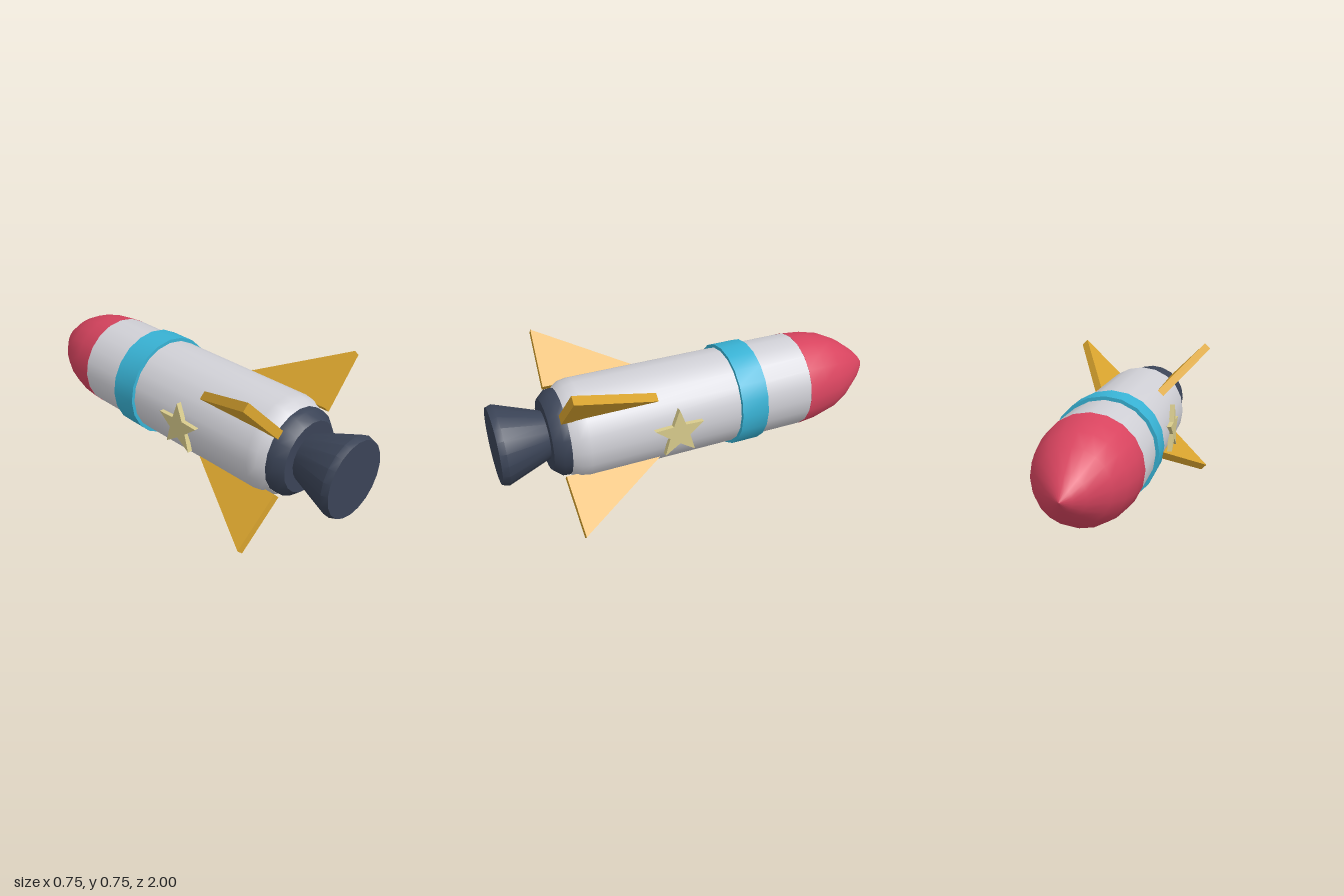
import * as THREE from 'three';
import { toCreasedNormals } from 'three/addons/utils/BufferGeometryUtils.js';

const AXIS_Y = 0.377;
const SIDES = 20;

function material(name, color) {
  const m = new THREE.MeshStandardMaterial({ color });
  m.name = name;
  return m;
}

// Turned part along z; profile is [radius, z] pairs from nose to tail
function turned(name, profile, mat) {
  const points = profile.map(([r, z]) => new THREE.Vector2(r, z));
  const geometry = new THREE.LatheGeometry(points, SIDES).rotateX(Math.PI / 2);
  const mesh = new THREE.Mesh(toCreasedNormals(geometry, 0.7), mat);
  mesh.name = name;
  return mesh;
}

function extruded(points, depth) {
  const shape = new THREE.Shape(points.map(([x, y]) => new THREE.Vector2(x, y)));
  return new THREE.ExtrudeGeometry(shape, { depth, bevelEnabled: false });
}

export function createModel() {
  const white = material('hull grey', 0xd0d0d6);
  const red = material('nose red', 0xd8445f);
  const blue = material('band blue', 0x38b2d4);
  const gold = material('fin gold', 0xd9a42e);
  const navy = material('engine navy', 0x3a4356);
  const cream = material('star cream', 0xd8cb8c);

  const rocket = new THREE.Group();
  rocket.name = 'rocket';
  rocket.position.y = AXIS_Y;

  // Hull, nose and band
  rocket.add(
    turned('noseCone', [[0, -1], [0.045, -0.965], [0.09, -0.92], [0.165, -0.82], [0.208, -0.73],
      [0.232, -0.63], [0.241, -0.535], [0, -0.535]], red),
    turned('hull', [[0, -0.54], [0.24, -0.54], [0.24, 0.61], [0.232, 0.655], [0.208, 0.69], [0, 0.69]], white),
    turned('band', [[0.235, -0.28], [0.257, -0.28], [0.257, -0.14], [0.235, -0.14]], blue),
  );

  // Engine collar and bell
  rocket.add(
    turned('engineCollar', [[0, 0.685], [0.208, 0.685], [0.205, 0.725], [0.17, 0.765], [0, 0.765]], navy),
    turned('engineBell', [[0, 0.75], [0.11, 0.75], [0.19, 0.97], [0.18, 1], [0, 1]], navy),
  );

  // Four diagonal fins, drawn as [radius, z]
  const thickness = 0.042;
  const finGeometry = extruded([[0.219, 0.235], [0.51, 0.705], [0.219, 0.72]], thickness)
    .translate(0, 0, -thickness / 2)
    .rotateX(Math.PI / 2);
  for (let i = 0; i < 4; i++) {
    const fin = new THREE.Mesh(finGeometry, gold);
    fin.name = 'fin' + (i + 1);
    fin.rotation.z = Math.PI / 4 + i * Math.PI / 2;
    rocket.add(fin);
  }

  // A raised star on each side
  const starPoints = [];
  for (let i = 0; i < 10; i++) {
    const r = i % 2 ? 0.053 : 0.127;
    const a = Math.PI / 2 + i * Math.PI / 5;
    starPoints.push([r * Math.cos(a), r * Math.sin(a)]);
  }
  const starGeometry = extruded(starPoints, 0.025).translate(0, 0, 0.231);
  for (const side of [1, -1]) {
    const star = new THREE.Mesh(starGeometry, cream);
    star.name = side > 0 ? 'leftStar' : 'rightStar';
    star.rotation.y = side * Math.PI / 2;
    star.position.z = 0.19;
    rocket.add(star);
  }

  const model = new THREE.Group();
  model.name = 'rocketModel';
  model.add(rocket);
  return model;
}
